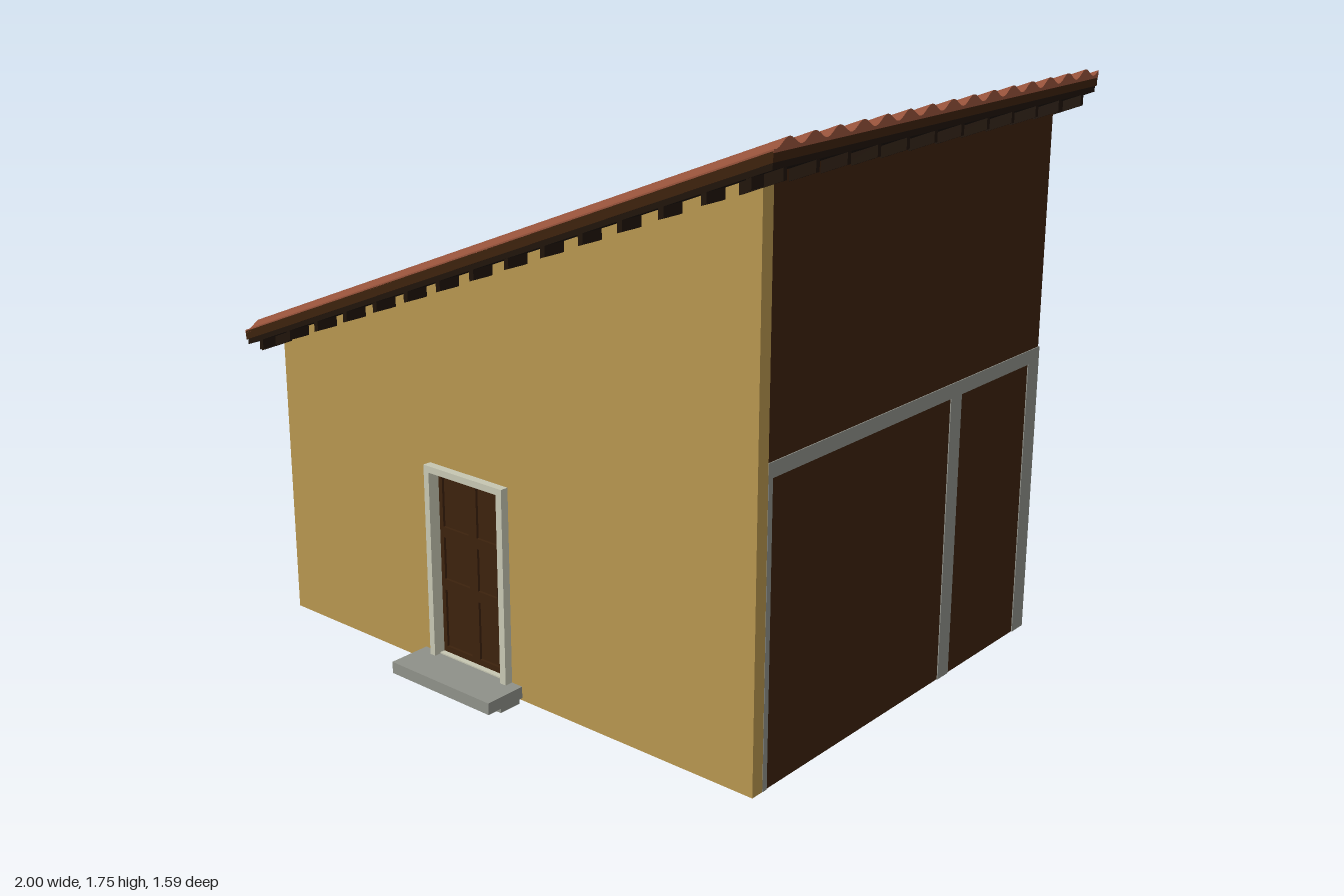
import * as THREE from 'three';
import { toCreasedNormals } from 'three/addons/utils/BufferGeometryUtils.js';

const SLOPE = 0.4;

const paint = (name, color) => {
  const m = new THREE.MeshStandardMaterial({ color });
  m.name = name;
  return m;
};

export function createModel() {
  const tan = paint('tan plaster', 0xb8964f);
  const brown = paint('brown timber', 0x3d220d);
  const dark = paint('dark timber', 0x20140a);
  const tile = paint('terracotta', 0x98533b);
  const grey = paint('concrete', 0x90928a);
  const cream = paint('pale frame', 0xc8c8b4);

  const house = new THREE.Group();
  house.name = 'house';

  const section = (name) => {
    const g = new THREE.Group();
    g.name = name;
    house.add(g);
    return g;
  };
  const add = (parent, name, geometry, material) => {
    const m = new THREE.Mesh(geometry, material);
    m.name = name;
    parent.add(m);
    return m;
  };
  // Block given by its limits on each axis
  const block = (x0, x1, y0, y1, z0, z1) =>
    new THREE.BoxGeometry(x1 - x0, y1 - y0, z1 - z0)
      .translate((x0 + x1) / 2, (y0 + y1) / 2, (z0 + z1) / 2);
  // Lift every vertex along the roof pitch
  const pitch = (geometry) => {
    const p = geometry.attributes.position;
    for (let i = 0; i < p.count; i++) p.setY(i, p.getY(i) + SLOPE * p.getX(i));
    geometry.computeVertexNormals();
    return geometry;
  };

  // Walls with a sloping top
  const walls = section('walls');
  const gable = (x) => {
    const s = new THREE.Shape();
    s.moveTo(-x, 0.015);
    s.lineTo(x, 0.015);
    s.lineTo(x, 1.287 + SLOPE * x);
    s.lineTo(-x, 1.287 - SLOPE * x);
    s.closePath();
    return s;
  };
  const extrude = (shape, depth, z) =>
    new THREE.ExtrudeGeometry(shape, { depth, bevelEnabled: false }).translate(0, 0, z);

  const frontShape = gable(0.912);
  const doorway = new THREE.Path();
  doorway.moveTo(-0.265, 0.04);
  doorway.lineTo(-0.265, 0.645);
  doorway.lineTo(0.035, 0.645);
  doorway.lineTo(0.035, 0.04);
  doorway.closePath();
  frontShape.holes.push(doorway);
  add(walls, 'frontWall', extrude(frontShape, 0.042, 0.618), tan);
  add(walls, 'backWall', extrude(gable(0.91), 0.03, -0.71), brown);
  add(walls, 'highSideWall', pitch(block(0.88, 0.91, 0, 1.287, -0.68, 0.618)), brown);
  add(walls, 'lowSideWall', pitch(block(-0.91, -0.88, 0, 1.287, -0.68, 0.618)), brown);
  // Side walls: level feet
  for (const wall of walls.children.slice(2)) {
    const p = wall.geometry.attributes.position;
    for (let i = 0; i < p.count; i++) if (p.getY(i) < 0.5) p.setY(i, 0.015);
    wall.geometry.computeVertexNormals();
  }

  // Concrete posts and ring beam, flush with the wall faces
  const frame = section('concreteFrame');
  for (const side of [-1, 1]) {
    const a = side > 0 ? 0.906 : -0.913;
    const b = a + 0.007;
    const middle = side > 0 ? -0.253 : 0.2;
    add(frame, 'sideBeam', block(a, b, 0.88, 0.923, -0.71, 0.618), grey);
    add(frame, 'sidePost', block(a, b, 0.015, 0.88, middle - 0.028, middle + 0.028), grey);
    add(frame, 'rearCornerPost', block(a, b, 0.015, 0.88, -0.71, -0.652), grey);
    add(frame, 'frontCornerPost', block(a, b, 0.015, 0.88, 0.6, 0.618), grey);
    add(frame, 'backCornerPost',
      block(side > 0 ? 0.855 : -0.913, side > 0 ? 0.913 : -0.855, 0.015, 0.88, -0.713, -0.706), grey);
  }
  add(frame, 'backBeam', block(-0.913, 0.913, 0.88, 0.923, -0.713, -0.706), grey);
  add(frame, 'backPost', block(-0.028, 0.028, 0.015, 0.88, -0.713, -0.706), grey);

  // Corrugated roof: wavy section swept along x
  const roof = section('roof');
  const wave = new THREE.Shape();
  wave.moveTo(-0.737, 1.322);
  const steps = 154;
  wave.lineTo(0.797, 1.322);
  for (let i = steps; i >= 0; i--) {
    const s = -0.737 + (1.534 * i) / steps;
    wave.lineTo(s, 1.342 + 0.012 * Math.cos(((-s - 0.68) / 0.1) * Math.PI * 2));
  }
  wave.closePath();
  const sheet = new THREE.ExtrudeGeometry(wave, { depth: 1.998, bevelEnabled: false })
    .rotateY(Math.PI / 2).translate(-0.999, 0, 0);
  add(roof, 'corrugatedSheet', toCreasedNormals(pitch(sheet), 0.6), tile);
  add(roof, 'roofBoard', pitch(block(-0.997, 0.997, 1.3, 1.327, -0.797, 0.737)), brown);
  add(roof, 'roofLining', pitch(block(-0.993, 0.993, 1.284, 1.3, -0.793, 0.733)), dark);

  // Short rafter tails around the overhang
  const tails = section('rafterTails');
  for (let i = 0; i < 15; i++) {
    const x = -0.93 + i * 0.1325;
    add(tails, 'frontTail', pitch(block(x - 0.008, x + 0.008, 1.255, 1.286, 0.65, 0.732)), dark);
    add(tails, 'backTail', pitch(block(x - 0.008, x + 0.008, 1.255, 1.286, -0.79, -0.7)), dark);
  }
  for (let i = 0; i < 12; i++) {
    const z = 0.678 - i * 0.128;
    add(tails, 'highEaveTail', pitch(block(0.86, 0.988, 1.253, 1.286, z - 0.007, z + 0.007)), dark);
    add(tails, 'lowEaveTail', pitch(block(-0.992, -0.86, 1.253, 1.286, z - 0.007, z + 0.007)), dark);
  }

  // Door frame
  const door = section('door');
  add(door, 'leftJamb', block(0.02, 0.042, 0.055, 0.655, 0.614, 0.686), cream);
  add(door, 'rightJamb', block(-0.272, -0.252, 0.055, 0.655, 0.614, 0.686), cream);
  add(door, 'lintel', block(-0.252, 0.02, 0.635, 0.655, 0.614, 0.686), cream);
  add(door, 'threshold', block(-0.272, 0.042, 0.035, 0.062, 0.614, 0.665), cream);

  // Six-panel door leaf with raised stiles and rails
  add(door, 'doorLeaf', block(-0.252, 0.02, 0.062, 0.635, 0.616, 0.64), brown);
  for (const [x0, x1] of [[-0.252, -0.238], [-0.133, -0.1], [0.006, 0.02]])
    add(door, 'stile', block(x0, x1, 0.062, 0.635, 0.64, 0.648), brown);
  for (const [y0, y1] of [[0.062, 0.08], [0.262, 0.296], [0.428, 0.46], [0.615, 0.635]])
    for (const [x0, x1] of [[-0.238, -0.133], [-0.1, 0.006]])
      add(door, 'rail', block(x0, x1, y0, y1, 0.64, 0.648), brown);
  add(door, 'handle', block(-0.008, 0.002, 0.295, 0.335, 0.648, 0.66), dark);

  // Entrance steps
  const entrance = section('entranceSteps');
  add(entrance, 'upperStep', block(-0.318, 0.082, 0.022, 0.058, 0.66, 0.795), grey);
  add(entrance, 'lowerStep', block(-0.305, 0.07, 0, 0.022, 0.66, 0.735), grey);

  return house;
}
